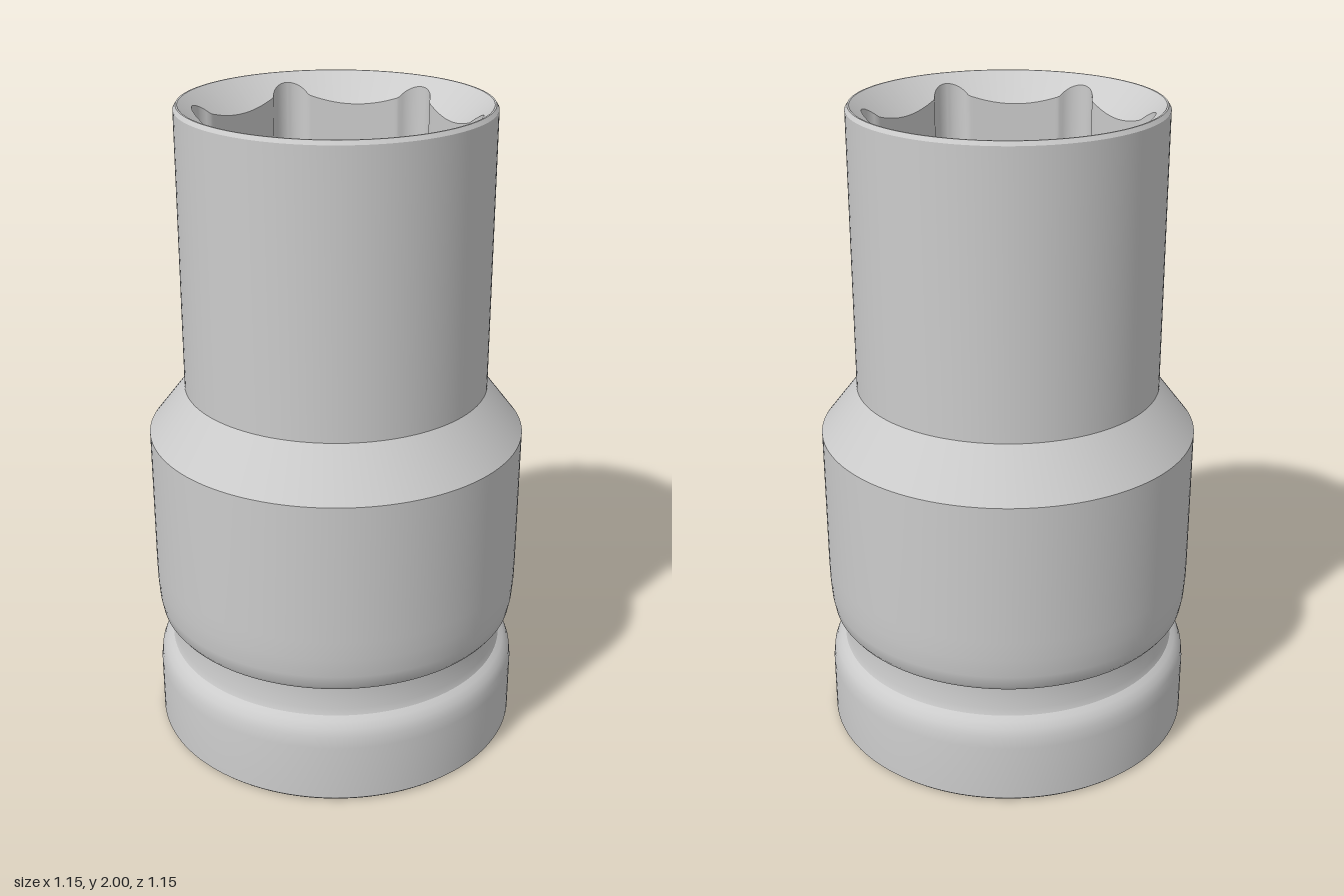
import * as THREE from 'three';
import { toCreasedNormals } from 'three/addons/utils/BufferGeometryUtils.js';

const STEPS = 360;

// Radius at angle t of a regular polygon hole with a round relief in each corner.
function polygonHole(sides, apothem, reliefCentre, reliefRadius, turn) {
  const sector = (2 * Math.PI) / sides;
  return (t) => {
    const k = (t - turn) / sector;
    const off = (k - Math.round(k)) * sector; // angle from the nearest corner
    const flat = apothem / Math.cos(sector / 2 - Math.abs(off));
    const inside = reliefRadius ** 2 - (reliefCentre * Math.sin(off)) ** 2;
    const relief = inside > 0 ? reliefCentre * Math.cos(off) + Math.sqrt(inside) : 0;
    return Math.max(flat, relief);
  };
}

// Inward-facing surface through closed loops, listed from top to bottom.
// Each loop is a function of the angle giving [radius, height].
function innerSurface(loops) {
  const pos = [];
  const index = [];
  loops.forEach((loop, row) => {
    for (let i = 0; i < STEPS; i++) {
      const t = (i / STEPS) * Math.PI * 2;
      const [r, y] = loop(t);
      pos.push(r * Math.cos(t), y, -r * Math.sin(t));
      if (row === 0) continue;
      const j = (i + 1) % STEPS;
      const a = (row - 1) * STEPS;
      const b = row * STEPS;
      index.push(a + i, a + j, b + i, a + j, b + j, b + i);
    }
  });
  const geo = new THREE.BufferGeometry();
  geo.setAttribute('position', new THREE.Float32BufferAttribute(pos, 3));
  geo.setIndex(index);
  return toCreasedNormals(geo, 0.5);
}

const circle = (r, y) => () => [r, y];

export function createModel() {
  const group = new THREE.Group();
  const material = new THREE.MeshStandardMaterial({ color: 0xcccccc });
  const add = (name, geometry) => {
    const mesh = new THREE.Mesh(geometry, material);
    mesh.name = name;
    group.add(mesh);
  };

  // Turned outer body: base collar, retaining groove, shoulder and neck
  const profile = [
    [0.567, 0], [0.575, 0.008], [0.575, 0.19], [0.571, 0.225], [0.562, 0.25],
    [0.548, 0.267], [0.533, 0.28], [0.527, 0.3], [0.527, 0.372], [0.533, 0.382],
    [0.553, 0.388], [0.563, 0.402], [0.57, 0.44], [0.574, 0.5], [0.575, 0.56],
    [0.575, 1.0], [0.463, 1.145], [0.463, 1.988], [0.455, 2],
  ].map(([r, y]) => new THREE.Vector2(r, y));
  add('outerBody', toCreasedNormals(new THREE.LatheGeometry(profile, 128), 0.5));

  const hex = polygonHole(6, 0.356, 0.36, 0.06, THREE.MathUtils.degToRad(3.5));
  const square = polygonHole(4, 0.335, 0.41, 0.09, Math.PI / 4);

  // Conical mouths cut the polygon walls in scallops
  const hexMouth = (t) => [hex(t), 2 - (0.45 - hex(t)) * 0.9];
  const squareMouth = (t) => [square(t), (0.54 - square(t)) * 0.4];

  add('topMouth', innerSurface([circle(0.455, 2), circle(0.45, 2), hexMouth]));
  add('hexSocket', innerSurface([hexMouth, (t) => [hex(t), 1.1]]));
  add('hexFloor', innerSurface([(t) => [hex(t), 1.1], circle(0.345, 1.08), circle(0.315, 1.03)]));
  add('throughBore', innerSurface([circle(0.315, 1.03), circle(0.315, 0.62)]));
  add('driveLedge', innerSurface([circle(0.315, 0.62), (t) => [square(t), 0.62]]));
  add('squareDrive', innerSurface([(t) => [square(t), 0.62], squareMouth]));
  add('bottomMouth', innerSurface([squareMouth, circle(0.54, 0), circle(0.567, 0)]));

  return group;
}
